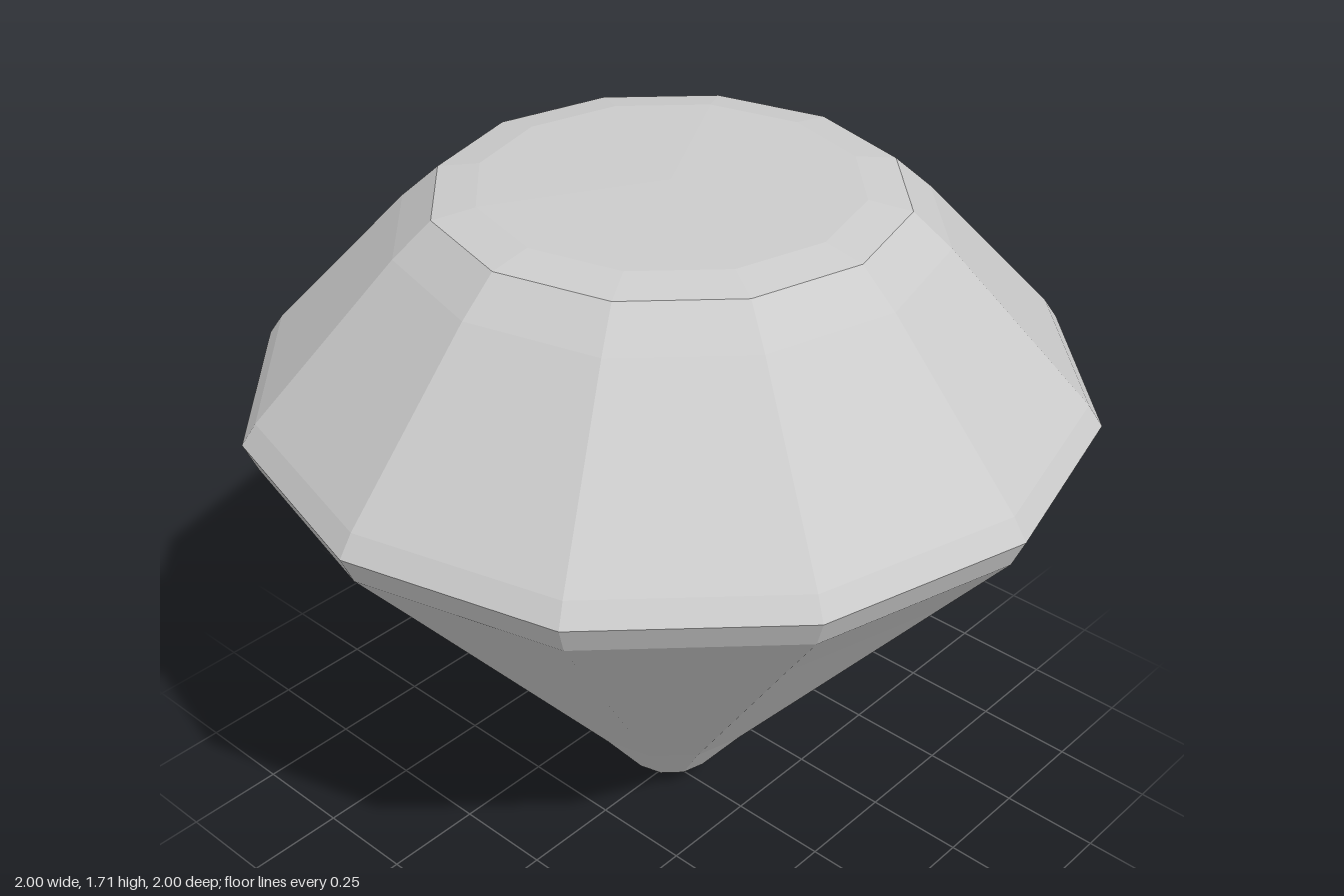
import * as THREE from 'three';

export function createModel() {
  const model = new THREE.Group();
  const material = new THREE.MeshStandardMaterial({ color: 0xcccccc, flatShading: true });

  // Turns a [radius, height] profile into a twelve-sided faceted ring
  function facets(name, profile) {
    const points = profile.map(([r, y]) => new THREE.Vector2(r, y));
    const geometry = new THREE.LatheGeometry(points, 12).toNonIndexed();
    geometry.computeVertexNormals();
    const mesh = new THREE.Mesh(geometry, material);
    mesh.name = name;
    model.add(mesh);
  }

  // Lower cone with its blunted point
  facets('pavilion', [[0, 0], [0.115, 0.065], [0.235, 0.225], [0.815, 0.94], [0.97, 1.13]]);
  // Narrow bevels either side of the widest edge
  facets('girdle', [[0.97, 1.13], [1, 1.2], [0.965, 1.25]]);
  // Sloping upper facets with a softened shoulder
  facets('crown', [[0.965, 1.25], [0.63, 1.605], [0.54, 1.685]]);
  // Nearly flat top
  facets('table', [[0.54, 1.685], [0.44, 1.702], [0, 1.706]]);

  return model;
}
